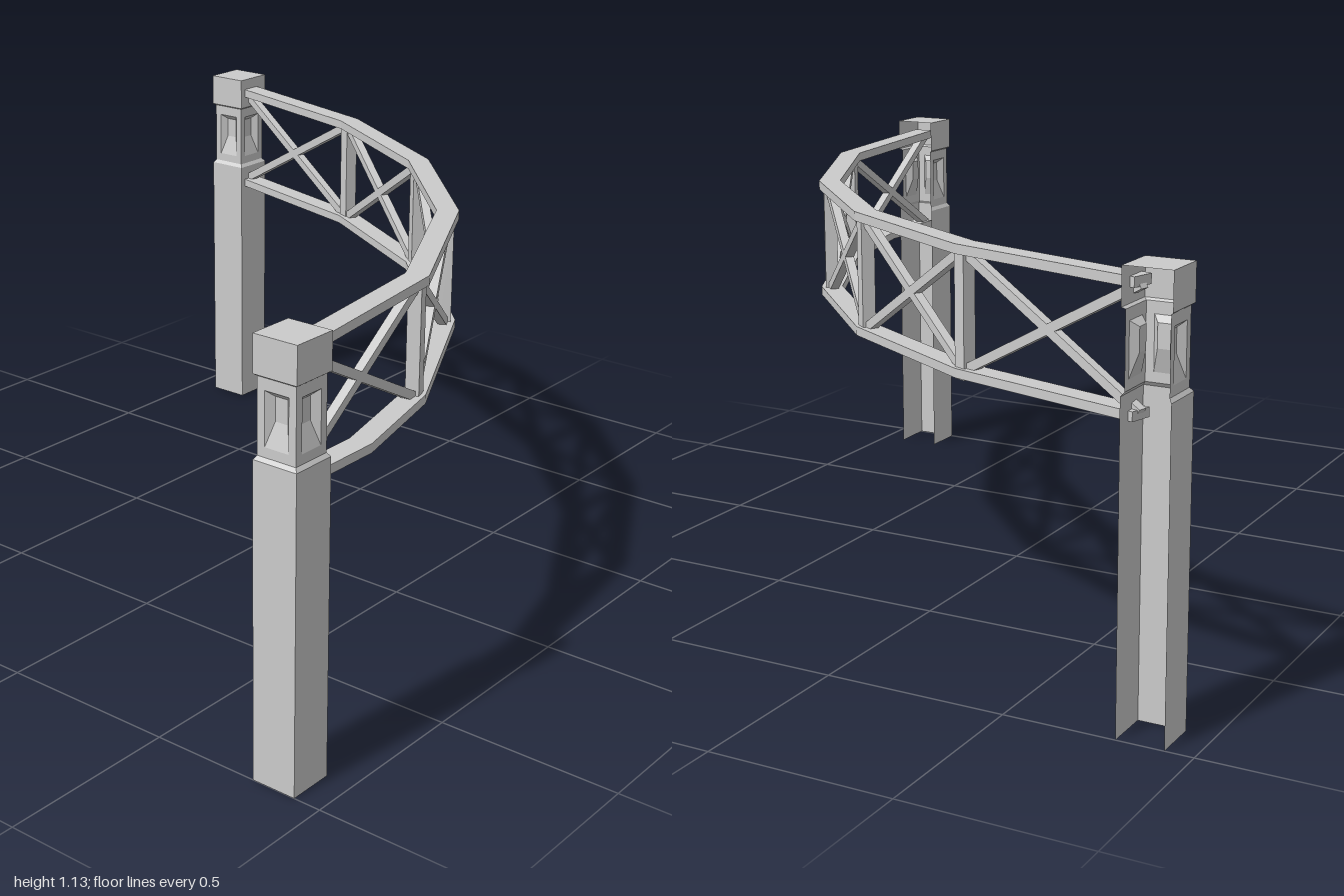
import * as THREE from 'three';

const material = new THREE.MeshStandardMaterial({ color: 0xcccccc, flatShading: true });
const shell = new THREE.MeshStandardMaterial({ color: 0xcccccc, flatShading: true, side: THREE.DoubleSide });

function add(parent, name, geometry, mat = material) {
  const mesh = new THREE.Mesh(geometry, mat);
  mesh.name = name;
  parent.add(mesh);
  return mesh;
}

// Square three-sided shell, open towards -z; profile is [half width, height]
function openShell(profile) {
  const points = profile.map(([w, y]) => new THREE.Vector2(w * Math.SQRT2, y));
  return new THREE.LatheGeometry(points, 3, Math.PI * 1.25, Math.PI * 1.5).toNonIndexed();
}

// Flat strip of constant width with mitred corners, following [x, z] points
function mitredStrip(path, width, height) {
  const pts = path.map(([x, z]) => new THREE.Vector2(x, -z));
  const left = [], right = [];
  pts.forEach((p, i) => {
    const a = pts[Math.max(i - 1, 0)], b = pts[Math.min(i + 1, pts.length - 1)];
    const d1 = (i ? p.clone().sub(a) : b.clone().sub(p)).normalize();
    const d2 = (i < pts.length - 1 ? b.clone().sub(p) : d1.clone()).normalize();
    const d = d1.clone().add(d2).normalize();
    const n = new THREE.Vector2(-d.y, d.x).multiplyScalar(width / 2 / d.dot(d1));
    left.push(p.clone().add(n));
    right.unshift(p.clone().sub(n));
  });
  const geometry = new THREE.ExtrudeGeometry(new THREE.Shape([...left, ...right]), { depth: height, bevelEnabled: false });
  return geometry.rotateX(-Math.PI / 2);
}

// Square bar between two points
function bar(parent, name, a, b, width, height) {
  const mesh = add(parent, name, new THREE.BoxGeometry(width, height, a.distanceTo(b)));
  mesh.position.copy(a).lerp(b, 0.5);
  mesh.lookAt(b);
}

// Tapered recess with a sloping sill, sunk behind the neck panel
function recessGeometry() {
  const rect = (w, y0, y1, z) => [-w, y0, z, w, y0, z, w, y1, z, -w, y1, z];
  const geometry = new THREE.BufferGeometry();
  geometry.setAttribute('position', new THREE.Float32BufferAttribute(
    [...rect(0.034, 0.865, 1.0, 0.055), ...rect(0.018, 0.925, 0.985, 0.037)], 3));
  const index = [4, 5, 6, 4, 6, 7];
  for (let i = 0; i < 4; i++) {
    const j = (i + 1) % 4;
    index.push(i, j, j + 4, i, j + 4, i + 4);
  }
  geometry.setIndex(index);
  const flat = geometry.toNonIndexed();
  flat.computeVertexNormals();
  return flat;
}

function neckPanelGeometry() {
  const rect = (P, w, y0, y1) => new P([[-w, y0], [w, y0], [w, y1], [-w, y1]].map(p => new THREE.Vector2(...p)));
  const shape = rect(THREE.Shape, 0.055, 0.84, 1.03);
  shape.holes.push(rect(THREE.Path, 0.034, 0.865, 1.0));
  return new THREE.ShapeGeometry(shape).translate(0, 0, 0.055);
}

function createPost(name, x, z) {
  const post = new THREE.Group();
  post.name = name;
  post.position.set(x, 0, z);
  add(post, 'shaft', openShell([[0.0625, 0], [0.0625, 0.83], [0.055, 0.84]]), shell);
  add(post, 'cap', openShell([[0.055, 1.03], [0.0625, 1.035], [0.0625, 1.13]]), shell);
  add(post, 'capTop', new THREE.PlaneGeometry(0.125, 0.125).rotateX(-Math.PI / 2).translate(0, 1.13, 0), shell);
  for (const turn of [-1, 0, 1]) {
    const side = new THREE.Group();
    side.name = 'neckSide';
    side.rotation.y = turn * Math.PI / 2;
    add(side, 'neckPanel', neckPanelGeometry(), shell);
    add(side, 'neckRecess', recessGeometry(), shell);
    post.add(side);
  }
  return post;
}

export function createModel() {
  const model = new THREE.Group();
  model.name = 'curvedTrussArch';
  model.add(createPost('backPost', -0.8625, -0.9375), createPost('frontPost', 0.8625, 0.9375));

  // Plan of the curved truss as [x, z]
  const path = [[-0.82, -0.93], [-0.277, -0.78], [0.172, -0.52], [0.533, -0.143], [0.785, 0.355], [0.86, 0.93]];
  const lowerPath = [...path.slice(0, 5), [0.863, 0.68], [0.863, 0.93]];
  const truss = new THREE.Group();
  truss.name = 'truss';
  model.add(truss);
  add(truss, 'topChord', mitredStrip(path, 0.06, 0.025).translate(0, 1.072, 0));
  add(truss, 'bottomChord', mitredStrip(lowerPath, 0.06, 0.024).translate(0, 0.763, 0));

  // Uprights at the corners
  for (let i = 1; i < 5; i++) {
    const upright = add(truss, 'upright', new THREE.BoxGeometry(0.036, 0.318, 0.036));
    const [ax, az] = path[i - 1], [bx, bz] = path[i + 1];
    upright.position.set(path[i][0], 0.916, path[i][1]);
    upright.rotation.y = -Math.atan2(bz - az, bx - ax);
  }

  // Crossed braces in every bay
  for (let i = 0; i < 5; i++) {
    const at = (k, y) => new THREE.Vector3(path[k][0], y, path[k][1]);
    bar(truss, 'brace', at(i, 0.778), at(i + 1, 1.078), 0.024, 0.024);
    bar(truss, 'brace', at(i, 1.078), at(i + 1, 0.778), 0.024, 0.024);
  }
  return model;
}
